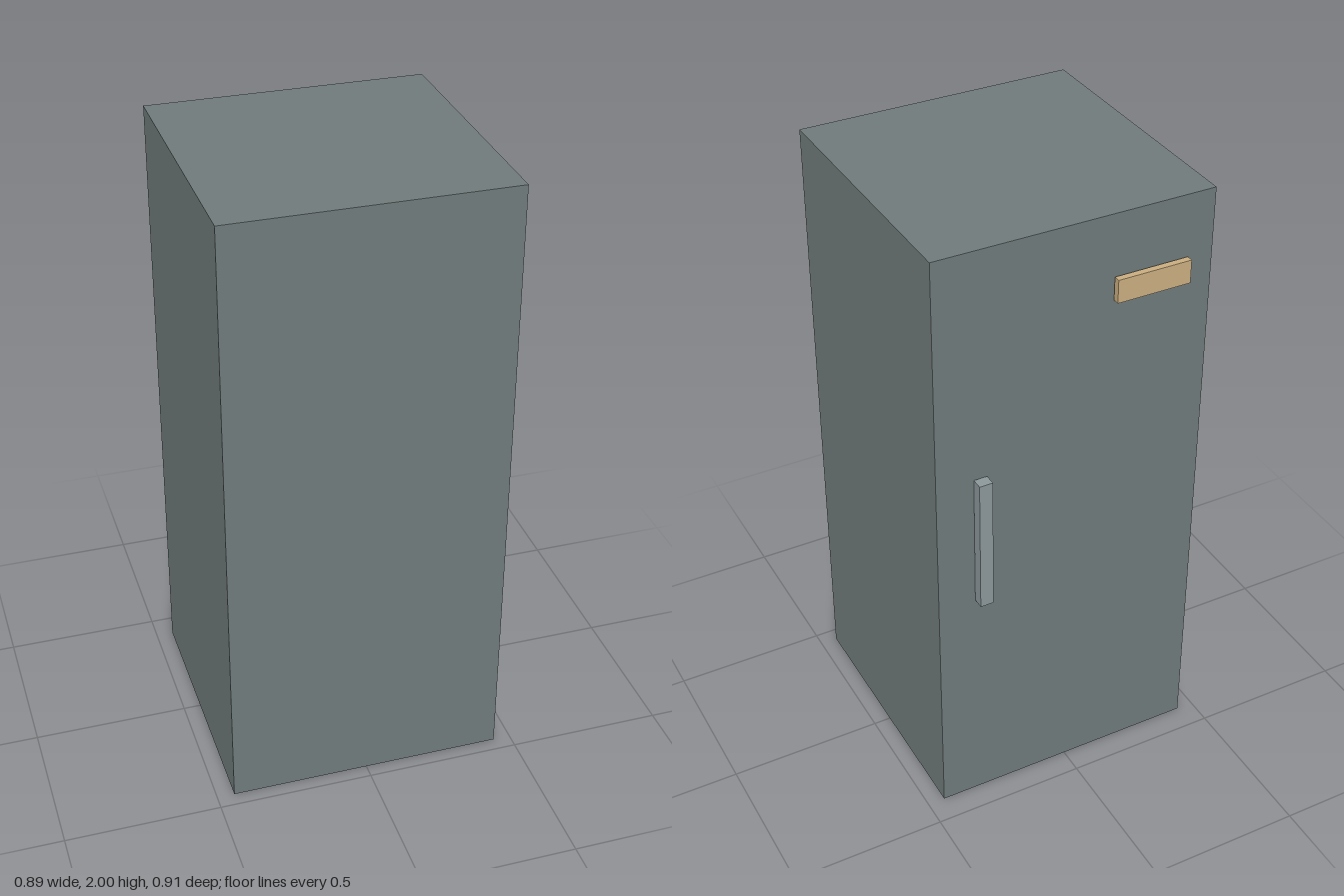
import * as THREE from 'three';

// Box given by its [min, max] extents on each axis
function addBox(group, name, color, [x0, x1], [y0, y1], [z0, z1]) {
  const mesh = new THREE.Mesh(
    new THREE.BoxGeometry(x1 - x0, y1 - y0, z1 - z0),
    new THREE.MeshStandardMaterial({ color })
  );
  mesh.name = name;
  mesh.position.set((x0 + x1) / 2, (y0 + y1) / 2, (z0 + z1) / 2);
  group.add(mesh);
}

export function createModel() {
  const group = new THREE.Group();
  group.name = 'cabinet';
  const steel = 0x6f7a7a;

  // Tall cabinet body with a thin door skin on the -z side
  addBox(group, 'body', steel, [-0.444, 0.444], [0, 2], [-0.413, 0.454]);
  addBox(group, 'door', steel, [-0.444, 0.444], [0, 2], [-0.416, -0.413]);

  // Door fittings, standing just off the door
  addBox(group, 'handle', 0x8c979b, [0.281, 0.324], [0.8, 1.25], [-0.455, -0.419]);
  addBox(group, 'namePlate', 0xc9ad80, [-0.36, -0.121], [1.727, 1.802], [-0.442, -0.421]);

  return group;
}
